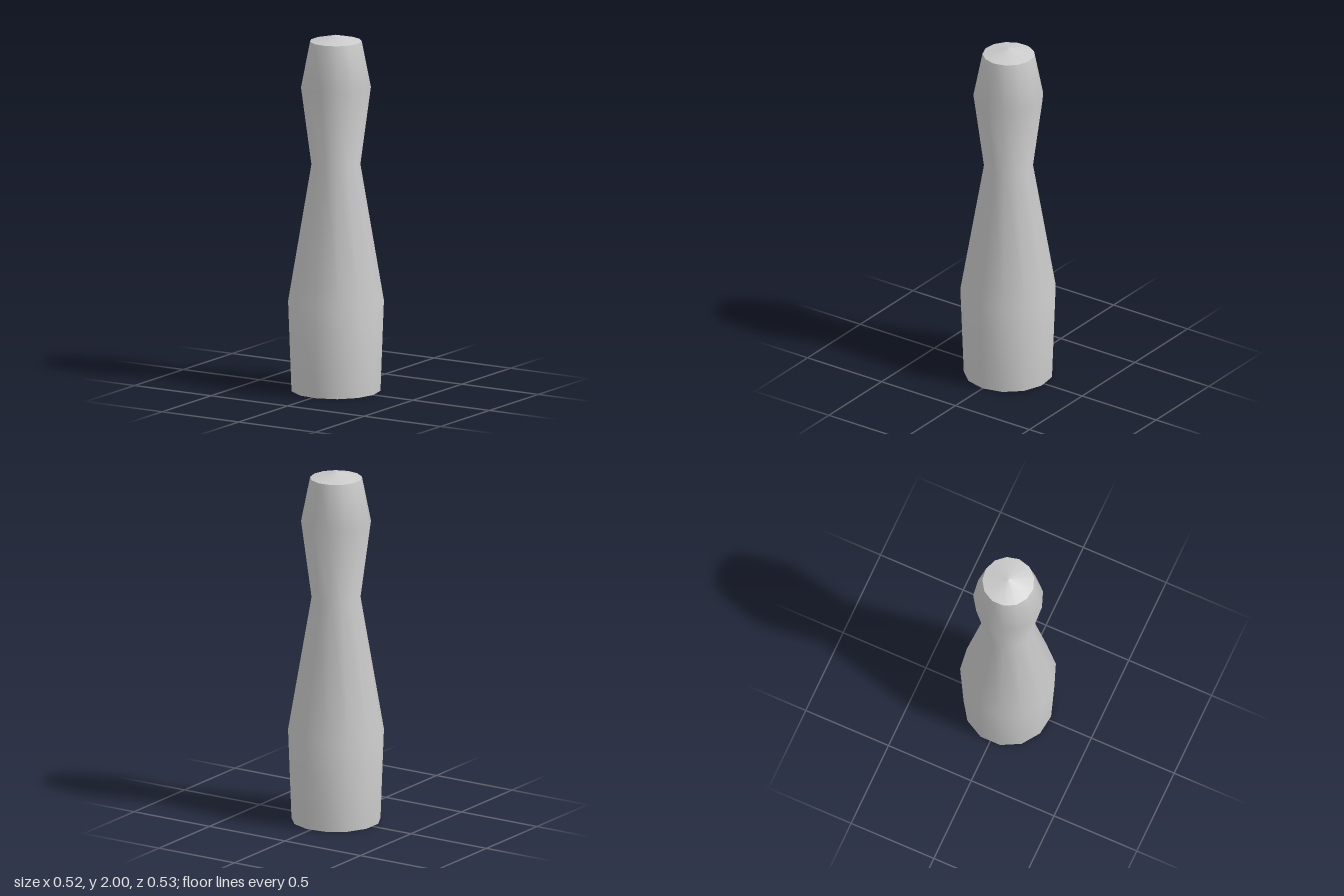
import * as THREE from 'three';

const SIDES = 13;

// Turned part with one corner pointing to +x
function turned(name, points, material) {
  const profile = points.map(([r, y]) => new THREE.Vector2(r, y));
  const mesh = new THREE.Mesh(new THREE.LatheGeometry(profile, SIDES, Math.PI / 2), material);
  mesh.name = name;
  mesh.position.x = -0.004; // an odd number of sides is centred by its extent
  return mesh;
}

export function createModel() {
  const group = new THREE.Group();
  group.name = 'bowlingPin';
  const material = new THREE.MeshStandardMaterial({ color: 0xcccccc, side: THREE.DoubleSide });

  // Hollow body, open at the base: foot, belly, neck, head, rim
  group.add(turned('body', [
    [0.247, 0], [0.266, 0.51], [0.136, 1.275], [0.194, 1.71], [0.144, 1.965],
  ], material));

  // Shallow conical cap with a sharp rim
  group.add(turned('cap', [[0.144, 1.965], [0, 2]], material));

  return group;
}
